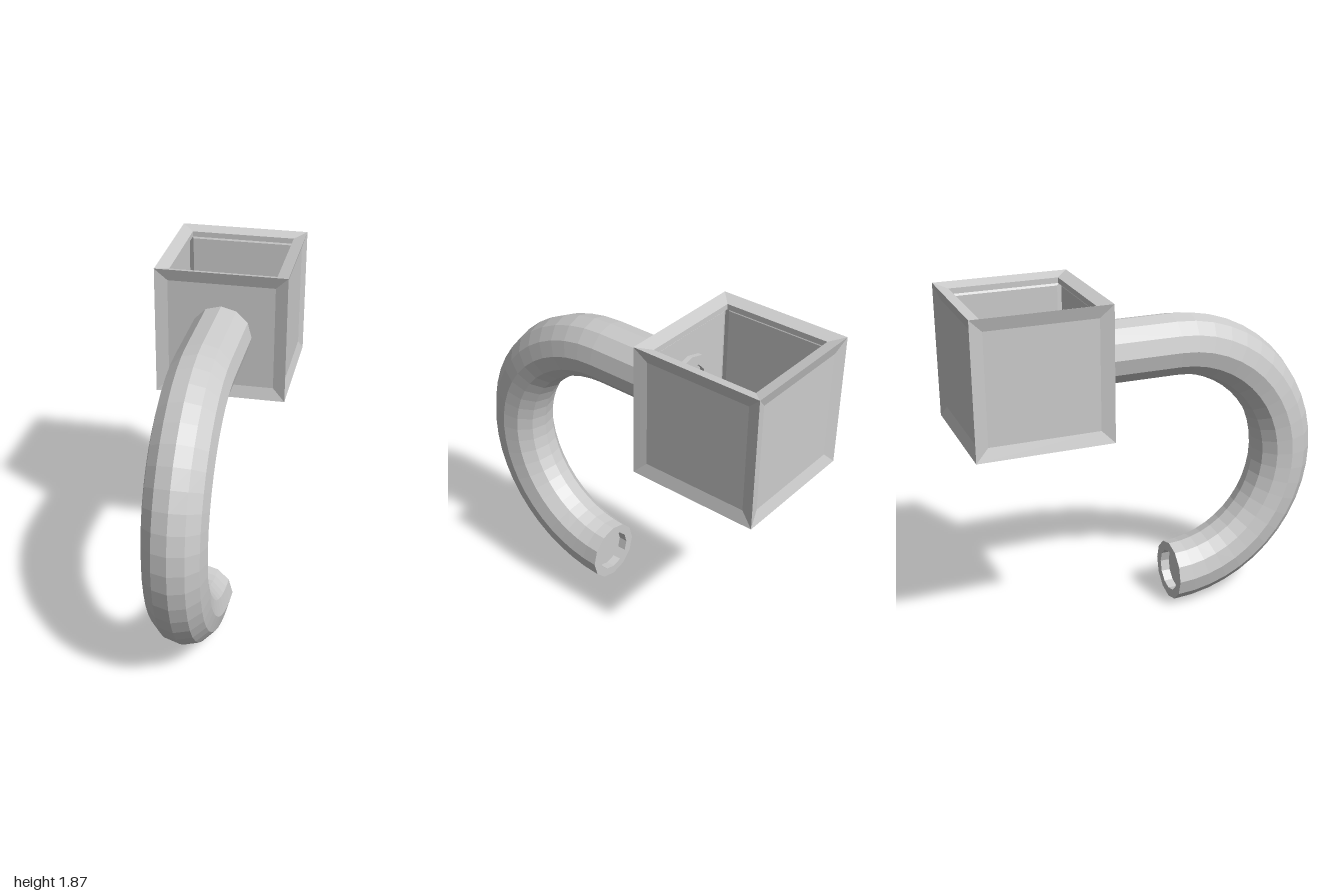
import * as THREE from 'three';

const material = new THREE.MeshStandardMaterial({ color: 0xcccccc, flatShading: true });

// Flat-shaded geometry from a list of four-cornered faces (counter-clockwise)
function fromQuads(quads) {
  const pts = quads.flatMap(([a, b, c, d]) => [a, b, c, a, c, d]);
  const geo = new THREE.BufferGeometry().setFromPoints(pts);
  geo.computeVertexNormals();
  return geo;
}

function named(name, geo) {
  const mesh = new THREE.Mesh(geo, material);
  mesh.name = name;
  return mesh;
}

// Square of four corners at height z, counter-clockwise seen from +z
const square = (h, z) => [[-1, -1], [1, -1], [1, 1], [-1, 1]]
  .map(([x, y]) => new THREE.Vector3(x * h, y * h, z));

// Quads joining two loops of equal length
const bridge = (a, b) => a.map((p, i) => {
  const j = (i + 1) % a.length;
  return [p, a[j], b[j], b[i]];
});

// Open-topped cube shell whose faces slope in to slightly sunken panels
function makeBox() {
  const half = 0.3575, inset = 0.29, sink = 0.02, wall = 0.03;
  const rotations = [[0, 0], [0, Math.PI / 2], [0, Math.PI], [0, -Math.PI / 2],
    [Math.PI / 2, 0], [-Math.PI / 2, 0]]; // the last one is the open top
  const quads = [];
  rotations.forEach(([rx, ry], side) => {
    const euler = new THREE.Euler(rx, ry, 0);
    const open = side === 5;
    const add = (list, flip) => list.forEach((q) => {
      const turned = q.map((p) => p.clone().applyEuler(euler));
      quads.push(flip ? turned.reverse() : turned);
    });
    for (const [h, flip] of [[half, false], [half - wall, true]]) {
      const panel = square(inset, h - sink);
      add(bridge(square(h, h), panel), flip);
      if (!open) add([panel], flip);
    }
    // lip of the opening
    if (open) add(bridge(square(inset, half - sink), square(inset, half - wall - sink)), false);
  });
  const geo = fromQuads(quads);
  geo.translate(0, 1.508, -0.6425);
  return geo;
}

// Twelve-sided tube: straight neck, half-circle bend, a recess at either end
function makeTube() {
  const R = 0.67, r = 0.167, bore = 0.115, cy = 0.837, cz = 0.165;
  const sides = 12, steps = 24, backZ = -0.36, recess = 0.05;

  // Cross-section of radius rad at bend angle a (0 = top), moved by dz
  const ring = (a, rad, dz = 0) => Array.from({ length: sides }, (_, i) => {
    const t = (i / sides) * Math.PI * 2;
    const d = R + rad * Math.cos(t);
    return new THREE.Vector3(rad * Math.sin(t), cy + d * Math.cos(a), cz + dz + d * Math.sin(a));
  });

  const neck = backZ - cz;
  const rings = [ring(0, 0, neck + recess), ring(0, bore, neck + recess),
    ring(0, bore, neck), ring(0, r, neck)];
  for (let i = 0; i <= steps; i++) rings.push(ring((i / steps) * Math.PI, r));
  rings.push(ring(Math.PI, bore), ring(Math.PI, bore, recess), ring(Math.PI, 0, recess));

  const quads = [];
  for (let i = 0; i < rings.length - 1; i++) {
    for (const q of bridge(rings[i], rings[i + 1])) {
      // start on the far corner where the ring shrinks to a point
      quads.push([q[3], q[2], q[1], q[0]]);
    }
  }
  return fromQuads(quads);
}

export function createModel() {
  const model = new THREE.Group();
  model.name = 'hookedTubeWithBox';
  model.add(named('openBox', makeBox()), named('curvedTube', makeTube()));
  return model;
}
